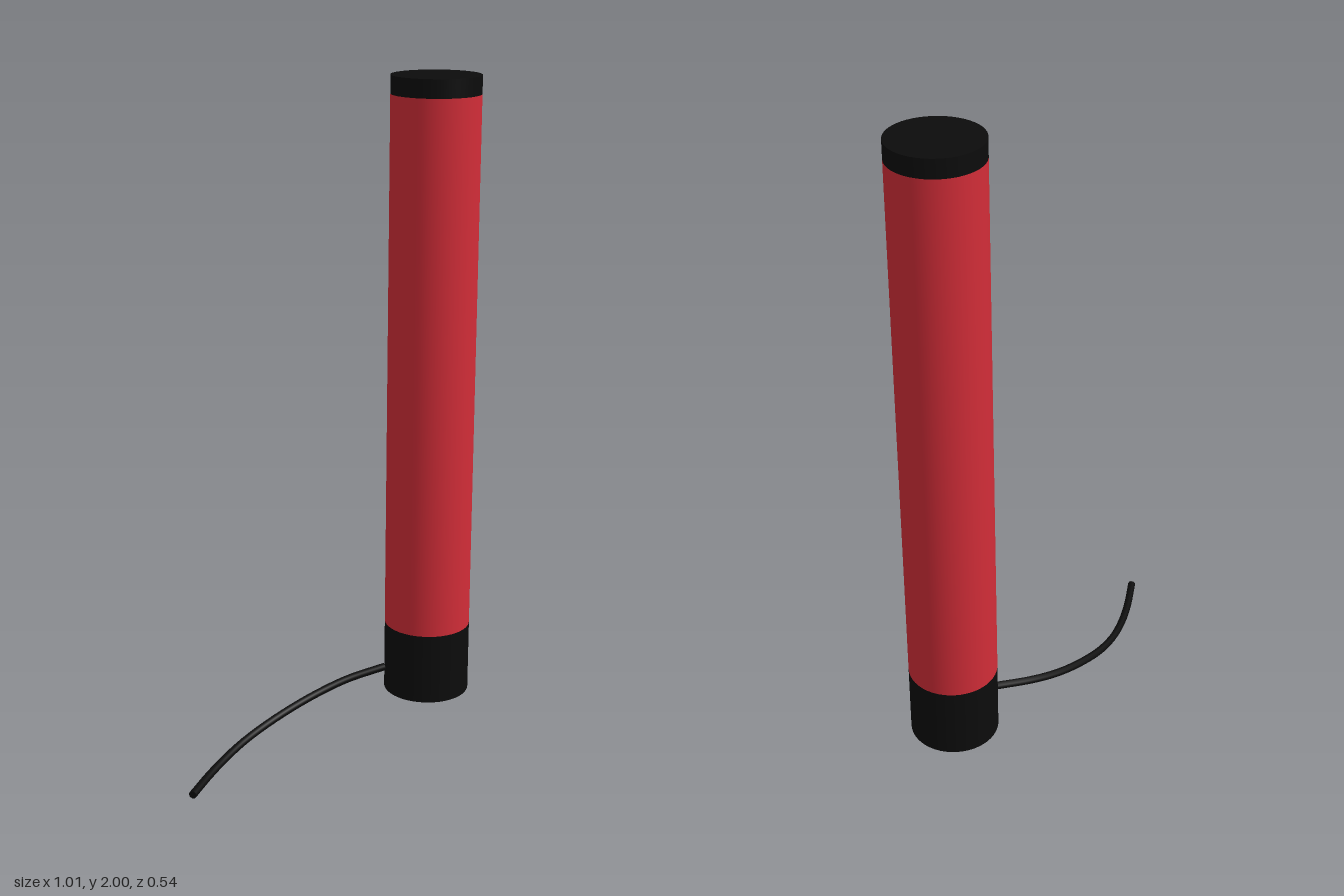
import * as THREE from 'three';

export function createModel() {
  const model = new THREE.Group();
  const black = new THREE.MeshStandardMaterial({ color: 0x0c0c0c });
  const red = new THREE.MeshStandardMaterial({ color: 0xd22d38 });
  const cableMaterial = new THREE.MeshStandardMaterial({ color: 0x0c0c0c, side: THREE.DoubleSide });
  const radius = 0.134;

  // Upright tube: stacked cylinders from base to cap
  const column = new THREE.Group();
  column.name = 'column';
  column.position.set(0.368, 0, -0.135);
  model.add(column);

  function section(name, bottom, top, material) {
    const mesh = new THREE.Mesh(new THREE.CylinderGeometry(radius, radius, top - bottom, 48), material);
    mesh.name = name;
    mesh.position.y = (bottom + top) / 2;
    column.add(mesh);
  }
  section('base', 0.06, 0.285, black);
  section('body', 0.285, 1.945, red);
  section('topCap', 1.945, 2, black);

  // Cable leaving the side of the base and drooping in an arc to the ground
  const path = new THREE.CatmullRomCurve3([
    [0.225, 0.144, -0.13], [0.1, 0.118, -0.13], [0, 0.093, -0.113],
    [-0.1, 0.069, -0.08], [-0.2, 0.046, -0.033], [-0.28, 0.031, 0.02],
    [-0.35, 0.021, 0.083], [-0.42, 0.015, 0.161], [-0.495, 0.013, 0.26],
  ].map((p) => new THREE.Vector3(...p)));
  const cable = new THREE.Mesh(new THREE.TubeGeometry(path, 32, 0.012, 10), cableMaterial);
  cable.name = 'cable';
  model.add(cable);

  // Flat cut at the free end of the cable
  const cableEnd = new THREE.Mesh(new THREE.CircleGeometry(0.012, 10), cableMaterial);
  cableEnd.name = 'cableEnd';
  cableEnd.position.copy(path.getPoint(1));
  cableEnd.quaternion.setFromUnitVectors(new THREE.Vector3(0, 0, 1), path.getTangent(1));
  model.add(cableEnd);

  return model;
}
